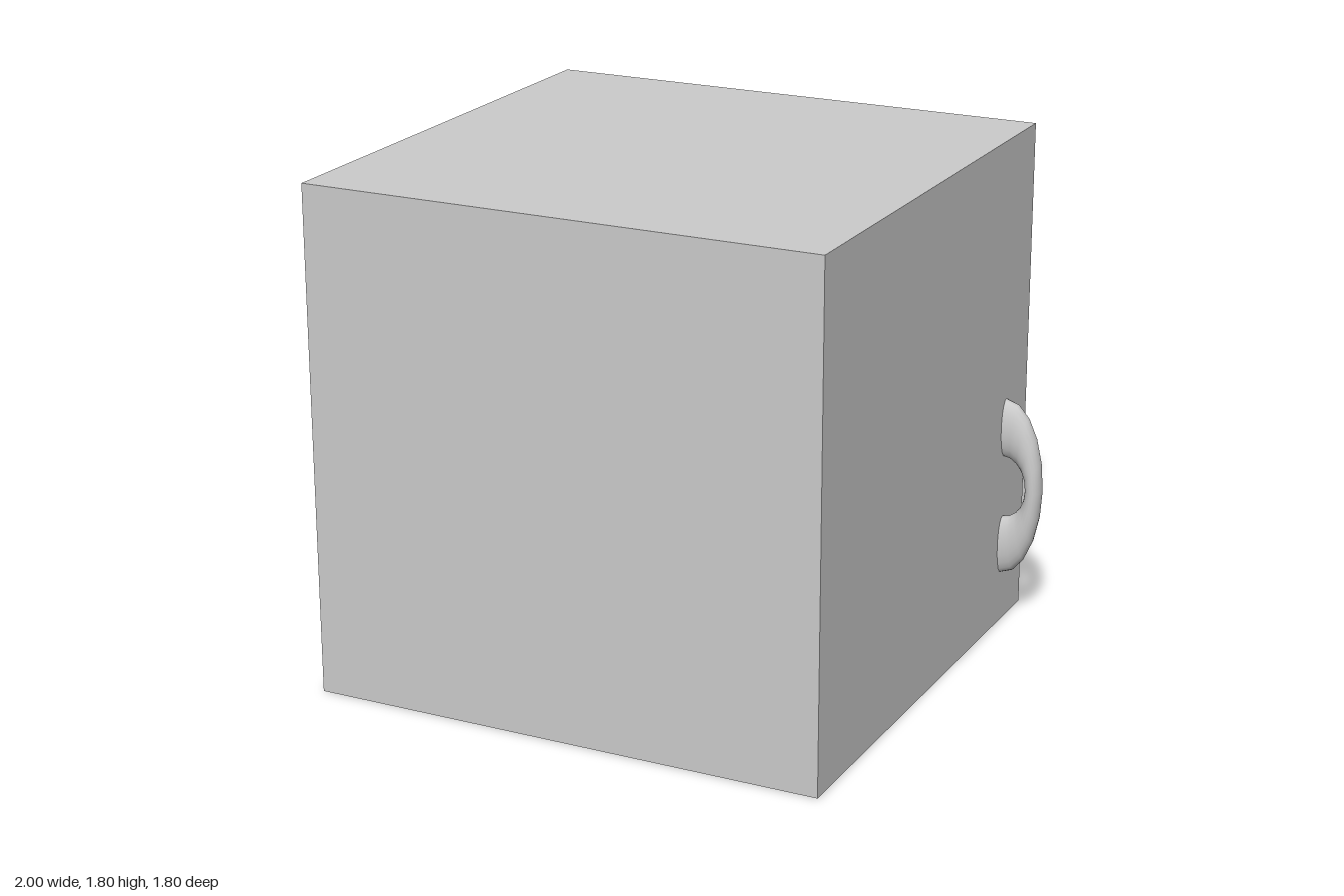
import * as THREE from 'three';
import { mergeVertices } from 'three/addons/utils/BufferGeometryUtils.js';

const material = new THREE.MeshStandardMaterial({ color: 0xcccccc });

function addBox(group, name, x0, x1) {
  const mesh = new THREE.Mesh(new THREE.BoxGeometry(x1 - x0, 1.8, 1.8), material);
  mesh.position.set((x0 + x1) / 2, 0.9, 0);
  mesh.name = name;
  group.add(mesh);
}

// Half ring whose inner and outer outlines are separate ellipses
function handleGeometry() {
  let geometry = new THREE.TorusGeometry(1, 0.5, 20, 10, Math.PI);
  geometry.rotateZ(-Math.PI / 2);
  geometry.deleteAttribute('uv');
  geometry.deleteAttribute('normal');
  const p = geometry.attributes.position;
  for (let i = 0; i < p.count; i++) {
    const x = p.getX(i), y = p.getY(i);
    const radius = Math.hypot(x, y);
    const w = (radius - 1) / 0.5; // -1 inside edge, 1 outside edge
    p.setXYZ(
      i,
      (x / radius) * (0.115 + 0.03 * w),
      (y / radius) * (0.222 + 0.108 * w),
      p.getZ(i) * 0.082
    );
  }
  geometry = mergeVertices(geometry);
  geometry.computeVertexNormals();
  return geometry;
}

export function createModel() {
  const group = new THREE.Group();
  group.name = 'cabinet';

  // Cabinet block with a thin door panel on its left side
  addBox(group, 'body', -1, 0.8);
  addBox(group, 'door', 0.8, 0.855);

  // Curved pull near the rear edge of the door
  const handle = new THREE.Mesh(handleGeometry(), material);
  handle.name = 'handle';
  handle.position.set(0.855, 0.518, -0.7);
  group.add(handle);

  return group;
}
